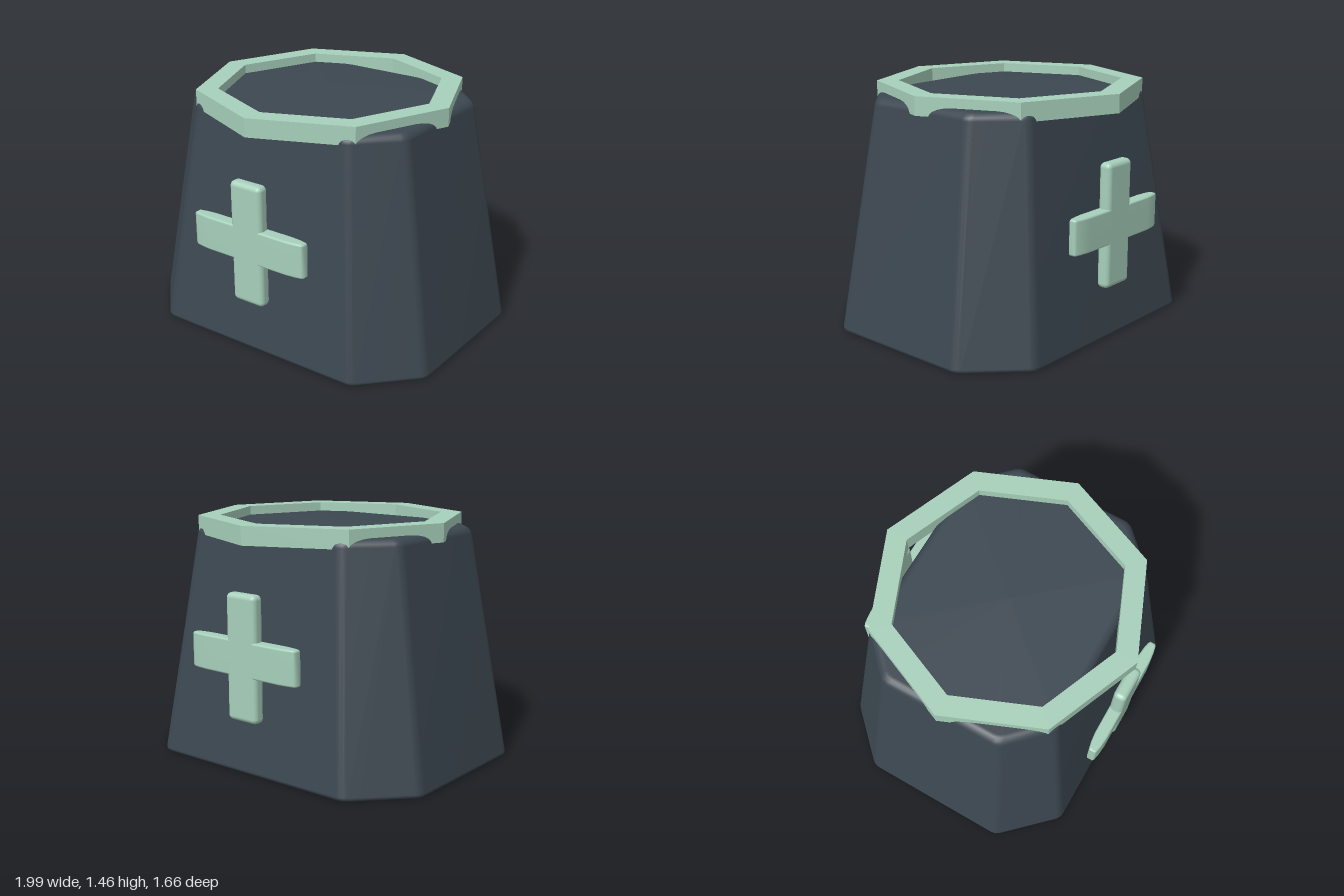
import * as THREE from 'three';
import { RoundedBoxGeometry } from 'three/addons/geometries/RoundedBoxGeometry.js';
import { mergeVertices } from 'three/addons/utils/BufferGeometryUtils.js';

// Chamfered rectangle with slightly rounded corners, t = 0 at the base and 1 at the top
function outline(t, inset) {
  const mix = (a, b) => a + (b - a) * t;
  const hx = mix(1.0, 0.765) - inset, hz = mix(0.785, 0.598) - inset;
  const cx = mix(0.69, 0.53) - inset * 0.41, cz = mix(0.465, 0.365) - inset * 0.41;
  const corners = [[hx, cz], [cx, hz], [-cx, hz], [-hx, cz], [-hx, -cz], [-cx, -hz], [cx, -hz], [hx, -cz]]
    .map(([x, z]) => new THREE.Vector2(x, z));
  const points = [];
  corners.forEach((c, i) => {
    const toward = (o) => c.clone().add(o.clone().sub(c).setLength(0.035));
    const a = toward(corners[(i + 7) % 8]), b = toward(corners[(i + 1) % 8]);
    points.push(...new THREE.QuadraticBezierCurve(a, c, b).getPoints(3));
  });
  return points;
}

// Tapered body lofted through outlines, with rounded rims and closed ends
function bodyGeometry() {
  const height = 1.4, levels = [];
  const rim = (r, y, dir) => {
    for (let k = 0; k <= 4; k++) {
      const a = (k / 4) * Math.PI / 2;
      levels.push(dir < 0 ? [y + r * (1 - Math.sin(a)), r * (1 - Math.cos(a))]
        : [y - r * (1 - Math.sin(a)), r * (1 - Math.cos(a))]);
    }
  };
  rim(0.025, 0, -1);
  levels.reverse();
  rim(0.045, height, 1);
  const pos = [], index = [];
  let n = 0;
  for (const [y, inset] of levels) {
    const ring = outline(y / height, inset);
    n = ring.length;
    ring.forEach((p) => pos.push(p.x, y, p.y));
  }
  for (let l = 0; l < levels.length - 1; l++) {
    for (let i = 0; i < n; i++) {
      const a = l * n + i, b = l * n + (i + 1) % n;
      index.push(a, a + n, b, b, a + n, b + n);
    }
  }
  const bottom = pos.length / 3, top = bottom + 1, last = (levels.length - 1) * n;
  pos.push(0, 0, 0, 0, height, 0);
  for (let i = 0; i < n; i++) {
    const j = (i + 1) % n;
    index.push(bottom, i, j, top, last + j, last + i);
  }
  const g = new THREE.BufferGeometry();
  g.setAttribute('position', new THREE.Float32BufferAttribute(pos, 3));
  g.setIndex(index);
  g.computeVertexNormals();
  return g;
}

// Octagonal band with a corner on each axis
function bandGeometry() {
  const octagon = (r) => Array.from({ length: 8 }, (_, i) =>
    new THREE.Vector2(r * Math.cos(i * Math.PI / 4), r * Math.sin(i * Math.PI / 4)));
  const shape = new THREE.Shape(octagon(0.805));
  shape.holes.push(new THREE.Path(octagon(0.675)));
  return new THREE.ExtrudeGeometry(shape, { depth: 0.11, bevelEnabled: false })
    .rotateX(-Math.PI / 2).translate(0, 1.345, 0);
}

// Horizontal arm that thins toward both ends
function armGeometry() {
  const half = [[0.395, -0.018], [0.395, 0.018], [0.38, 0.026], [0.34, 0.034], [0.28, 0.04]];
  const pts = [[0.28, -0.04], [0.34, -0.034], [0.38, -0.026], ...half];
  const all = [...pts, ...pts.map(([x, z]) => [-x, -z])].map(([x, z]) => new THREE.Vector2(x, z));
  const b = 0.012;
  const g = new THREE.ExtrudeGeometry(new THREE.Shape(all), {
    depth: 0.21 - 2 * b, bevelThickness: b, bevelSize: b, bevelOffset: -b, bevelSegments: 3,
  }).rotateX(-Math.PI / 2).translate(0, -0.105 + b, 0);
  g.deleteAttribute('uv');
  g.deleteAttribute('normal');
  const smooth = mergeVertices(g, 1e-4);
  smooth.computeVertexNormals();
  return smooth;
}

export function createModel() {
  const slate = new THREE.MeshStandardMaterial({ color: 0x3c4750 });
  slate.name = 'darkSlate';
  const mint = new THREE.MeshStandardMaterial({ color: 0xa7d0bb });
  mint.name = 'paleMint';

  const model = new THREE.Group();
  model.name = 'taperedContainer';
  const add = (parent, name, geometry, material) => {
    const mesh = new THREE.Mesh(geometry, material);
    mesh.name = name;
    parent.add(mesh);
    return mesh;
  };

  add(model, 'body', bodyGeometry(), slate);
  add(model, 'topBand', bandGeometry(), mint);

  // Plus sign on the front and the back
  const upright = new RoundedBoxGeometry(0.22, 0.745, 0.08, 4, 0.03);
  const arm = armGeometry();
  for (const [name, side] of [['frontCross', 1], ['backCross', -1]]) {
    const cross = new THREE.Group();
    cross.name = name;
    add(cross, 'crossUpright', upright, mint);
    add(cross, 'crossArm', arm, mint);
    cross.position.set(0, 0.703, 0.79 * side);
    model.add(cross);
  }
  return model;
}
